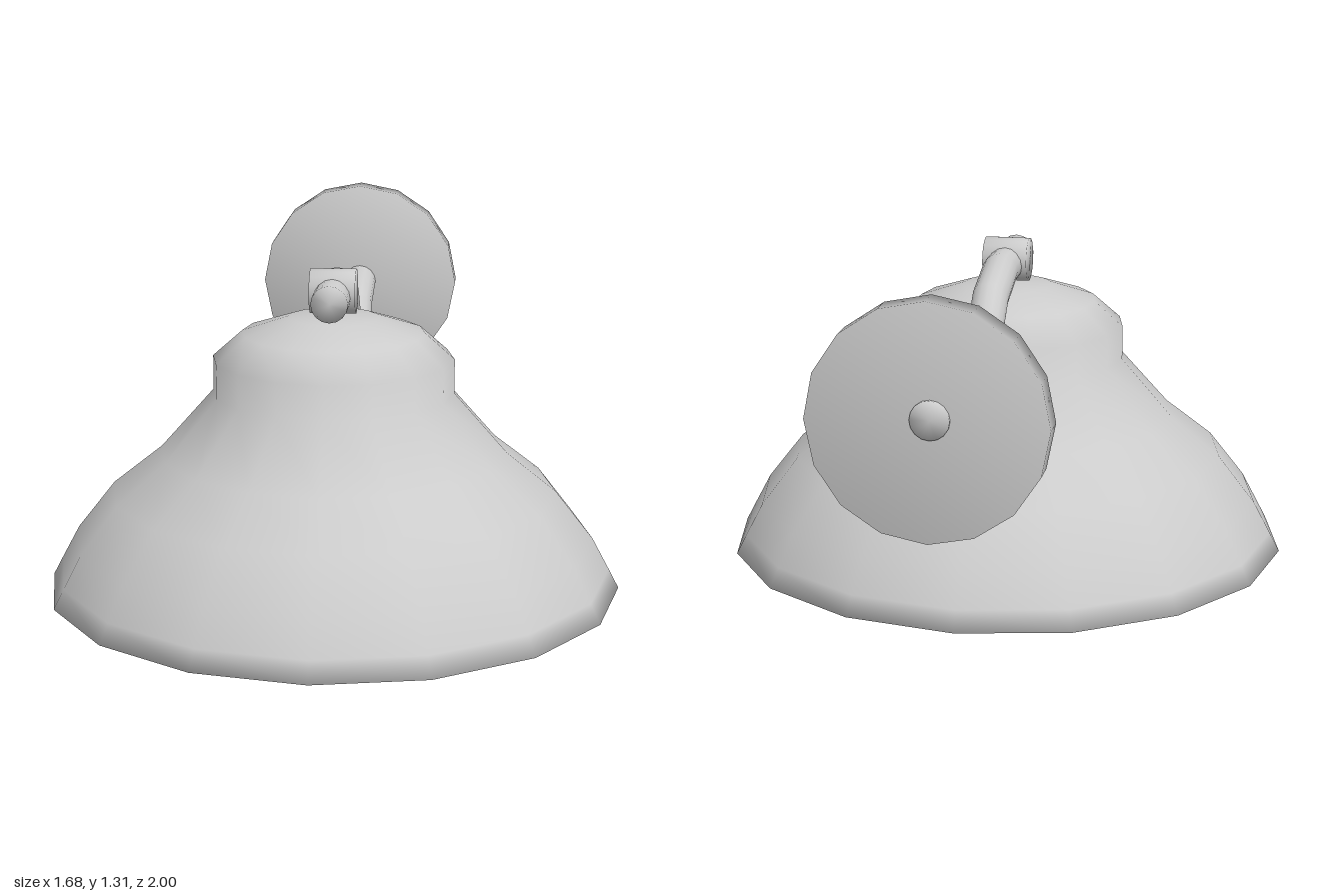
import * as THREE from 'three';
import { mergeGeometries, mergeVertices } from 'three/addons/utils/BufferGeometryUtils.js';

const material = new THREE.MeshStandardMaterial({ color: 0xcccccc });
const SIDES = 16;
const LAMP_Z = 0.16;

function addMesh(group, name, geometry, x = 0, y = 0, z = 0) {
  const mesh = new THREE.Mesh(geometry, material);
  mesh.name = name;
  mesh.position.set(x, y, z);
  group.add(mesh);
  return mesh;
}

// Weld all corners so the shading runs smoothly over every edge
function smooth(geometry) {
  geometry.deleteAttribute('uv');
  geometry.deleteAttribute('normal');
  const welded = mergeVertices(geometry, 1e-4);
  welded.computeVertexNormals();
  return welded;
}

// Turned part: profile of [radius, height]
function turned(profile) {
  const points = profile.map(([r, y]) => new THREE.Vector2(r, y));
  return smooth(new THREE.LatheGeometry(points, SIDES));
}

// Straight-segment path whose corners land exactly on the tube's rings
class Polyline extends THREE.Curve {
  constructor(points) {
    super();
    this.points = points;
  }
  getPoint(t, target = new THREE.Vector3()) {
    const n = this.points.length - 1;
    const i = Math.min(Math.floor(t * n + 1e-9), n - 1);
    return target.lerpVectors(this.points[i], this.points[i + 1], t * n - i);
  }
  getPointAt(u, target) {
    return this.getPoint(u, target);
  }
  getTangentAt(u, target) {
    return this.getTangent(u, target);
  }
}

// Bent arm from the top of the shade back to the wall, as [z, y]
function armGeometry() {
  const radius = 0.053;
  const path = [
    [0.31, 1.165], [0.03, 1.165], [-0.12, 1.12], [-0.255, 0.995],
    [-0.375, 0.85], [-0.49, 0.797], [-0.725, 0.95], [-0.92, 0.99], [-0.963, 0.99],
  ].map(([z, y]) => new THREE.Vector3(0, y, z));
  const tube = new THREE.TubeGeometry(new Polyline(path), path.length - 1, radius, SIDES);

  // The lowest bend is pressed a little wider
  const position = tube.attributes.position;
  const lowBend = 5 * (SIDES + 1);
  for (let i = lowBend; i <= lowBend + SIDES; i++) position.setX(i, position.getX(i) * 1.25);

  const frontCap = new THREE.CircleGeometry(radius, SIDES).translate(0, 1.165, 0.31);
  const backCap = new THREE.CircleGeometry(radius, SIDES).rotateY(Math.PI).translate(0, 0.99, -0.963);
  return smooth(mergeGeometries([tube, frontCap, backCap]));
}

export function createModel() {
  const group = new THREE.Group();
  group.name = 'wallLamp';

  // Bell shade: inner skin down to a thick rim, then up the outside
  const inner = [
    [0, 1.06], [0.12, 1.05], [0.23, 1.01], [0.3, 0.95], [0.3, 0.86],
    [0.465, 0.665], [0.605, 0.55], [0.71, 0.42], [0.765, 0.325], [0.785, 0.3],
  ];
  const outer = [
    [0.84, 0.3], [0.81, 0.357], [0.76, 0.45], [0.65, 0.59], [0.505, 0.705],
    [0.35, 0.88], [0.35, 0.98], [0.265, 1.055], [0.13, 1.1], [0, 1.108],
  ];
  addMesh(group, 'shade', turned([...inner, ...outer]), 0, 0, LAMP_Z);

  // Round bulb narrowing to a neck inside the shade
  addMesh(group, 'bulb', turned([
    [0, 0], [0.125, 0.028], [0.225, 0.1], [0.293, 0.2], [0.318, 0.32],
    [0.295, 0.44], [0.245, 0.57], [0.21, 0.7], [0.2, 0.85], [0.2, 1.04],
  ]), 0, 0, LAMP_Z);

  addMesh(group, 'arm', armGeometry());

  // Cross barrel clamping the arm over the shade
  const barrel = turned([[0, -0.066], [0.065, -0.066], [0.065, 0.066], [0, 0.066]]);
  addMesh(group, 'clamp', barrel, 0, 1.175, LAMP_Z).rotation.z = Math.PI / 2;

  // Round wall plate, dished on the wall side
  const plate = turned([[0, 0.055], [0.32, 0], [0.32, 0.08], [0, 0.08]]);
  addMesh(group, 'wallPlate', plate, 0, 0.99, -1).rotation.x = Math.PI / 2;

  return group;
}
